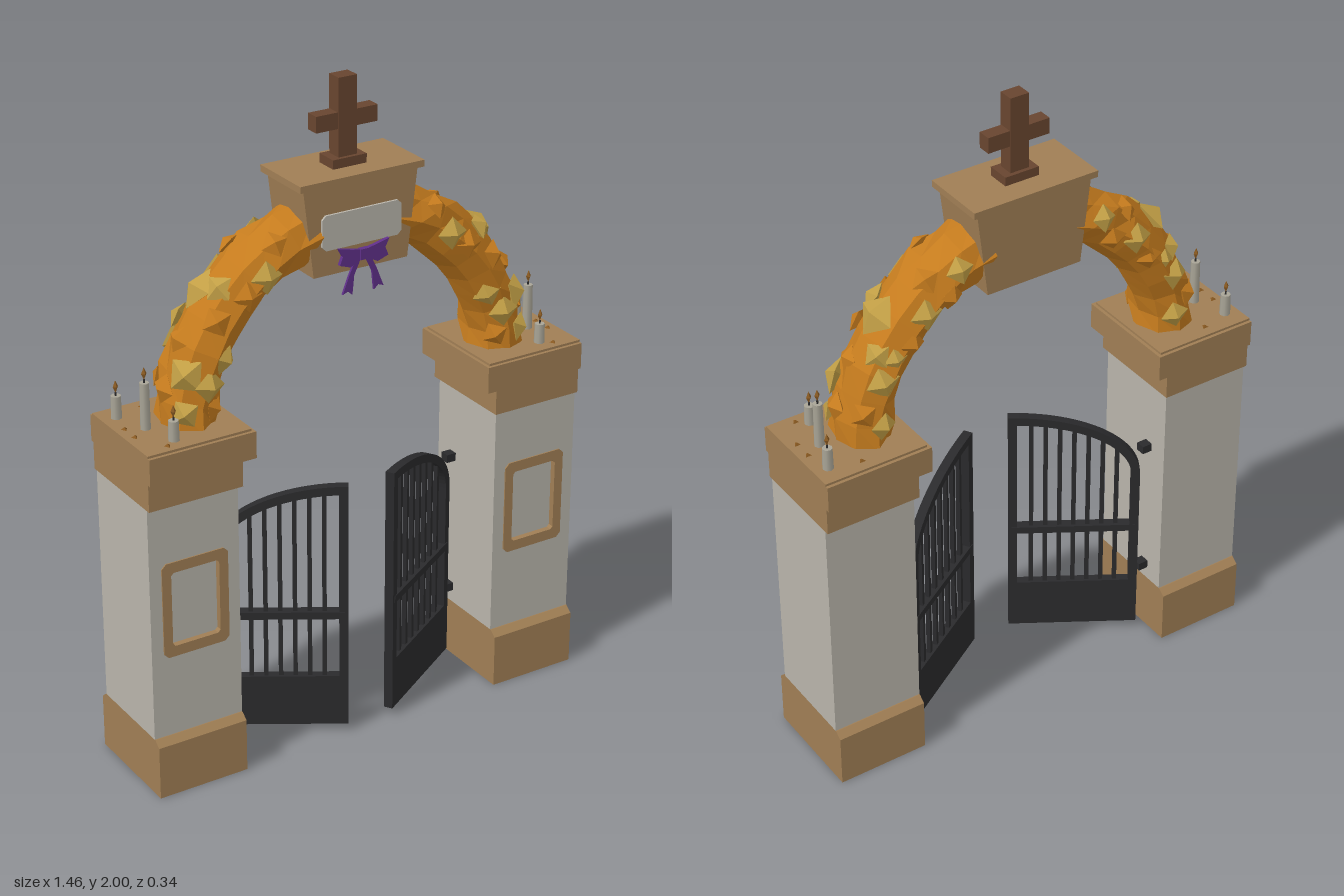
import * as THREE from 'three';

const mat = (name, color, extra = {}) => {
  const m = new THREE.MeshStandardMaterial({ color, ...extra });
  m.name = name;
  return m;
};

export function createModel() {
  const model = new THREE.Group();
  model.name = 'cemeteryGate';
  const tan = mat('tan stone', 0xa07e54);
  const grey = mat('pale stone', 0xb8b4aa);
  const iron = mat('black iron', 0x2a2a2c);
  const wood = mat('dark wood', 0x68452f);
  const orange = mat('marigold orange', 0xc67c1e, { flatShading: true });
  const gold = mat('blossom gold', 0xc3a046, { flatShading: true });
  const purple = mat('purple ribbon', 0x5f2f88);
  const wax = mat('candle wax', 0xa8a496);
  const flameMat = mat('flame brown', 0x8a5a22, { flatShading: true });

  const add = (parent, name, geometry, material, x = 0, y = 0, z = 0) => {
    const mesh = new THREE.Mesh(geometry, material);
    mesh.name = name;
    mesh.position.set(x, y, z);
    parent.add(mesh);
    return mesh;
  };
  // Box given by its limits on each axis
  const box = (parent, name, material, x0, x1, y0, y1, z0, z1) =>
    add(parent, name, new THREE.BoxGeometry(Math.abs(x1 - x0), y1 - y0, z1 - z0), material,
      (x0 + x1) / 2, (y0 + y1) / 2, (z0 + z1) / 2);
  const poly = (pts) => new THREE.Shape(pts.map(([x, y]) => new THREE.Vector2(x, y)));
  const extrude = (shape, depth) =>
    new THREE.ExtrudeGeometry(shape, { depth, bevelEnabled: false, curveSegments: 10 });
  // Rectangle with cut corners
  const plate = (w, h, c) => [
    [-w + c, -h], [w - c, -h], [w, -h + c], [w, h - c],
    [w - c, h], [-w + c, h], [-w, h - c], [-w, -h + c]];
  const ring = (w, h, c, iw, ih) => {
    const shape = poly(plate(w, h, c));
    shape.holes.push(poly(plate(iw, ih, 0.008)));
    return shape;
  };

  // Pillar: plinth, shaft with framed recess, stepped cap
  function addPillar(s) {
    const g = new THREE.Group();
    g.name = s > 0 ? 'leftPillar' : 'rightPillar';
    model.add(g);
    const out = 0.728 * s, inn = 0.44 * s, mid = 0.584 * s;
    const profile = poly([[-0.172, 0], [0.172, 0], [0.172, 0.167], [0.15, 0.185], [-0.15, 0.185], [-0.172, 0.167]]);
    add(g, 'plinth', extrude(profile, 0.288).rotateY(Math.PI / 2), tan, mid - 0.144, 0, 0);
    box(g, 'shaft', grey, out, inn, 0.185, 0.92, -0.147, 0.132);
    const face = poly([[-0.144, 0.185], [0.144, 0.185], [0.144, 0.92], [-0.144, 0.92]]);
    face.holes.push(poly([[-0.1, 0.45], [-0.1, 0.73], [0.1, 0.73], [0.1, 0.45]]));
    add(g, 'shaftFace', extrude(face, 0.015), grey, mid, 0, 0.132);
    add(g, 'panelFrame', extrude(ring(0.106, 0.15, 0.014, 0.077, 0.117), 0.019), tan, mid, 0.59, 0.132);
    box(g, 'lowerCap', tan, out, 0.43 * s, 0.92, 1.003, -0.16, 0.16);
    box(g, 'upperCap', tan, out, 0.392 * s, 1.003, 1.085, -0.172, 0.172);
    box(g, 'capTop', tan, out, 0.402 * s, 1.085, 1.092, -0.162, 0.162);

    // Candles with small flames
    for (const [x, z, h, r] of [[0.683, -0.1, 0.07, 0.015], [0.648, 0.005, 0.142, 0.014], [0.617, 0.11, 0.062, 0.015]]) {
      add(g, 'candle', new THREE.CylinderGeometry(r, r * 1.1, h, 8), wax, x * s, 1.09 + h / 2, z);
      add(g, 'wick', new THREE.CylinderGeometry(0.003, 0.003, 0.012, 5), iron, x * s, 1.094 + h, z);
      add(g, 'flame', new THREE.OctahedronGeometry(0.019).scale(0.45, 1, 0.45), flameMat, x * s, 1.117 + h, z);
    }
    // Fallen petals
    for (const [x, z] of [[0.7, -0.02], [0.65, 0.135], [0.59, -0.125], [0.7, 0.04]]) {
      add(g, 'petal', new THREE.ConeGeometry(0.011, 0.008, 3), flameMat, x * s, 1.096, z);
    }
  }

  // Flower arch: lumpy low-poly garland with pointed blossoms
  const R = 0.52, RAD = Math.PI / 180, archY = 1.075;
  // [angle along arch, angle around garland (0 outer, 90 front, 180 inner, 270 back), size, is gold]
  const blossoms = [
    [18, 45, 0.058, 1], [25, 115, 0.045, 1], [16, 95, 0.05, 1], [7, 55, 0.045, 1],
    [43, 32, 0.045, 1], [54, 88, 0.05, 1], [46, 85, 0.045, 0], [62, 50, 0.04, 0],
    [40, -8, 0.065, 1], [31, -45, 0.042, 1], [35, 60, 0.045, 0], [12, 5, 0.045, 0],
    [26, 8, 0.04, 0], [55, -40, 0.042, 0], [64, -70, 0.042, 1], [48, -85, 0.05, 1],
    [38, -100, 0.042, 0], [24, -75, 0.05, 1], [13, -55, 0.042, 0], [9, -100, 0.045, 1],
    [57, -105, 0.042, 0], [32, -80, 0.035, 1], [8, 120, 0.04, 0],
  ];
  function addGarland(s) {
    const g = new THREE.Group();
    g.name = s > 0 ? 'leftGarland' : 'rightGarland';
    g.position.y = archY;
    model.add(g);
    const tube = new THREE.TorusGeometry(R, 0.083, 8, 9, 76 * RAD);
    const p = tube.attributes.position;
    const v = new THREE.Vector3(), c = new THREE.Vector3();
    for (let i = 0; i < p.count; i++) {
      v.fromBufferAttribute(p, i);
      c.set(v.x, v.y, 0).setLength(R);
      const lump = 1 + 0.09 * Math.sin(61 * v.x + 47 * v.y + 71 * v.z);
      v.sub(c).multiplyScalar(lump);
      v.z *= 1.2;
      v.add(c);
      p.setXYZ(i, v.x, v.y, v.z);
    }
    if (s < 0) tube.rotateY(Math.PI);
    tube.computeVertexNormals();
    add(g, 'garland', tube, orange);
    for (const [t, a, size, isGold] of blossoms) {
      const ct = Math.cos(t * RAD), st = Math.sin(t * RAD);
      const ca = Math.cos(a * RAD), sa = Math.sin(a * RAD);
      const d = R + 0.083 * ca;
      const m = add(g, 'blossom', new THREE.OctahedronGeometry(size).scale(1, 0.55, 1),
        isGold ? gold : orange, s * ct * d, st * d, 0.096 * sa);
      m.quaternion.setFromUnitVectors(new THREE.Vector3(0, 1, 0),
        new THREE.Vector3(s * ct * ca, st * ca, sa).normalize());
    }
  }

  // Iron gate leaf, hinged at its local x = 0 and swung forward
  function addGate(s) {
    const g = new THREE.Group();
    g.name = s > 0 ? 'leftGate' : 'rightGate';
    g.position.set(0.412 * s, 0, -0.067);
    const swing = 31.5 * RAD;
    g.rotation.y = s > 0 ? Math.PI + swing : -swing;
    model.add(g);
    const L = 0.4, e = 0.027, spring = 0.6, rise = 0.22;
    const frame = poly([[0, 0.025], [L, 0.025], [L, spring + rise]]);
    frame.absellipse(L, spring, L, rise, Math.PI / 2, Math.PI, false);
    const hole = new THREE.Path();
    hole.moveTo(e, 0.19);
    hole.lineTo(L - e, 0.19);
    hole.lineTo(L - e, spring + rise - e);
    hole.absellipse(L, spring, L - e, rise - e, Math.PI / 2 + 0.07, Math.PI, false);
    frame.holes.push(hole);
    add(g, 'gateFrame', extrude(frame, 0.028), iron, 0, 0, -0.014);
    box(g, 'gateRail', iron, 0.01, L - 0.01, 0.385, 0.408, -0.016, 0.016);
    for (let i = 1; i <= 7; i++) {
      const u = e + (L - 2 * e) * i / 8;
      const top = spring + (rise - 0.015) * Math.sqrt(1 - ((L - u) / L) ** 2);
      box(g, 'gateBar', iron, u - 0.0065, u + 0.0065, 0.185, top, -0.0065, 0.0065);
    }
    for (const y of [0.24, 0.69]) {
      box(model, 'hinge', iron, 0.44 * s, 0.408 * s, y - 0.013, y + 0.013, -0.085, -0.055);
    }
  }

  for (const s of [1, -1]) {
    addPillar(s);
    addGarland(s);
    addGate(s);
  }

  // Keystone with cap and plaque
  const key = poly([[-0.155, 1.46], [0.155, 1.46], [0.187, 1.723], [-0.187, 1.723]]);
  add(model, 'keystone', extrude(key, 0.19), tan, 0, 0, -0.097);
  box(model, 'keystoneCap', tan, -0.203, 0.203, 1.723, 1.743, -0.108, 0.104);
  add(model, 'plaque', extrude(poly(plate(0.13, 0.052, 0.012)), 0.008), grey, 0, 1.588, 0.092);

  // Ribbon bow
  const bow = new THREE.Group();
  bow.name = 'bow';
  bow.position.set(0, 1.508, 0.099);
  model.add(bow);
  for (const s of [1, -1]) {
    const flip = (pts) => poly(pts.map(([x, y]) => [x * s, y]));
    add(bow, 'bowLoop', extrude(flip([[0, -0.01], [0.045, -0.032], [0.08, -0.02], [0.07, 0.005], [0.083, 0.03], [0.04, 0.02], [0, 0.012]]), 0.012), purple);
    add(bow, 'bowTail', extrude(flip([[0.004, -0.005], [0.022, -0.008], [0.045, -0.055], [0.068, -0.112], [0.05, -0.105], [0.036, -0.118], [0.03, -0.06]]), 0.007), purple);
  }
  box(bow, 'bowKnot', purple, -0.014, 0.014, -0.016, 0.016, 0, 0.016);

  // Wooden cross
  box(model, 'crossFoot', wood, -0.055, 0.055, 1.743, 1.77, -0.036, 0.036);
  box(model, 'crossPost', wood, -0.03, 0.03, 1.77, 2.0, -0.024, 0.024);
  box(model, 'crossArm', wood, -0.1, 0.1, 1.852, 1.9, -0.021, 0.021);

  return model;
}
